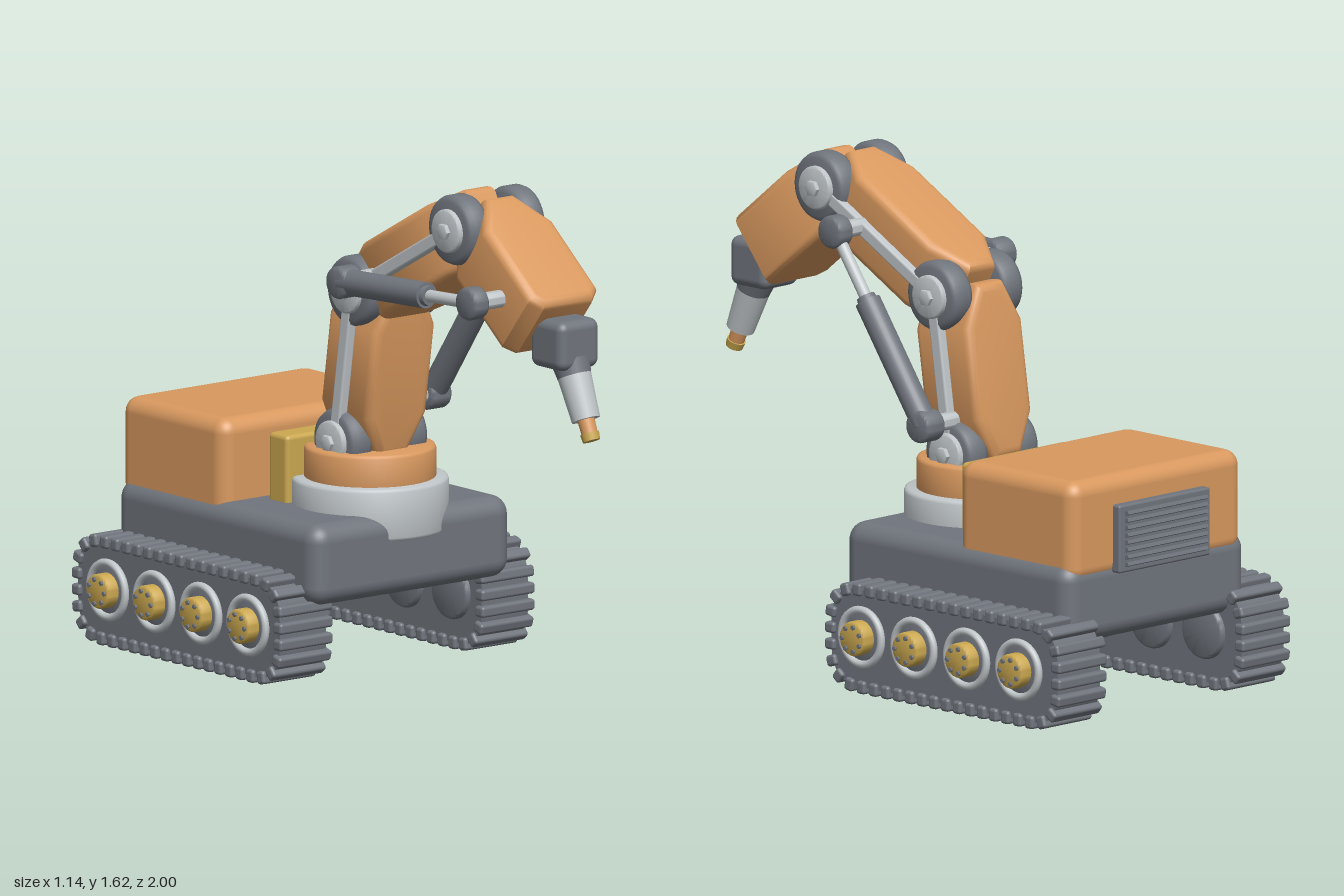
import * as THREE from 'three';
import { toCreasedNormals } from 'three/addons/utils/BufferGeometryUtils.js';
import { RoundedBoxGeometry } from 'three/addons/geometries/RoundedBoxGeometry.js';

const paint = (name, hex) => {
  const m = new THREE.MeshStandardMaterial({ color: hex });
  m.name = name;
  return m;
};

export function createModel() {
  const orange = paint('orange paint', 0xd9995f);
  const dark = paint('dark grey metal', 0x70757d);
  const light = paint('light grey metal', 0xc0c6c9);
  const gold = paint('gold metal', 0xcba850);

  const root = new THREE.Group();
  root.name = 'trackedRobotArm';

  const add = (name, geo, mat, x = 0, y = 0, z = 0, parent = root) => {
    const m = new THREE.Mesh(geo, mat);
    m.name = name;
    m.position.set(x, y, z);
    parent.add(m);
    return m;
  };
  const group = (name) => {
    const g = new THREE.Group();
    g.name = name;
    root.add(g);
    return g;
  };
  const rbox = (w, h, d, r) => new RoundedBoxGeometry(w, h, d, 4, r);

  // Solid of revolution with a small rounded rim, centred on its axis
  const disc = (r, h, b = 0.01, sides = 40) => {
    const p = [[0, -h / 2], [r - b, -h / 2], [r - b * 0.3, -h / 2 + b * 0.3], [r, -h / 2 + b],
      [r, h / 2 - b], [r - b * 0.3, h / 2 - b * 0.3], [r - b, h / 2], [0, h / 2]];
    return toCreasedNormals(new THREE.LatheGeometry(p.map(([x, y]) => new THREE.Vector2(x, y)), sides), 0.9);
  };
  // Disc turned to lie along x, spanning x0 to x1
  const axle = (name, r, x0, x1, y, z, mat, parent = root, b = 0.01, sides = 40) => {
    const m = add(name, disc(r, Math.abs(x1 - x0), b, sides), mat, (x0 + x1) / 2, y, z, parent);
    m.rotation.z = Math.PI / 2;
    return m;
  };
  // Cylinder between two [x, y, z] points
  const rod = (name, a, b, r0, r1, mat, parent = root) => {
    const A = new THREE.Vector3(...a), B = new THREE.Vector3(...b);
    const m = add(name, new THREE.CylinderGeometry(r1, r0, A.distanceTo(B), 28), mat, 0, 0, 0, parent);
    m.position.copy(A).lerp(B, 0.5);
    m.quaternion.setFromUnitVectors(new THREE.Vector3(0, 1, 0), B.sub(A).normalize());
    return m;
  };

  // Hull, rear housing and counterweight block
  add('hull', rbox(0.815, 0.265, 1.01, 0.06), dark, 0, 0.388, -0.415);
  add('rearHousing', rbox(0.77, 0.33, 0.52, 0.05), orange, 0, 0.62, -0.66);
  add('backBlock', rbox(0.465, 0.23, 0.095, 0.015), gold, 0, 0.622, -0.314);

  // Rear vent with louvres
  const vent = group('rearVent');
  add('ventFrame', rbox(0.41, 0.22, 0.04, 0.008), dark, 0, 0.583, -0.93, vent);
  for (let i = 0; i < 8; i++) {
    const slat = add('ventLouvre', new THREE.BoxGeometry(0.36, 0.012, 0.018), dark, 0, 0.5 + i * 0.0237, -0.955, vent);
    slat.rotation.x = 0.4;
  }

  // Turntable
  add('turntableRing', disc(0.25, 0.17, 0.012, 64), light, 0, 0.52, -0.135);
  add('turntable', disc(0.21, 0.14, 0.012, 64), orange, 0, 0.636, -0.135);

  // Tracks: belt outline in the side plane, with slats spaced along it
  const z0 = -0.975, z1 = 0.035, y0 = 0.025, y1 = 0.34, c = 0.12;
  const belt = new THREE.Shape();
  belt.moveTo(z0 + c, y0);
  belt.lineTo(z1 - c, y0);
  belt.quadraticCurveTo(z1, y0, z1, y0 + c);
  belt.lineTo(z1, y1 - c);
  belt.quadraticCurveTo(z1, y1, z1 - c, y1);
  belt.lineTo(z0 + c, y1);
  belt.quadraticCurveTo(z0, y1, z0, y1 - c);
  belt.lineTo(z0, y0 + c);
  belt.quadraticCurveTo(z0, y0, z0 + c, y0);
  const beltGeo = new THREE.ExtrudeGeometry(belt, { depth: 0.19, bevelEnabled: false, curveSegments: 12 });
  beltGeo.translate(0, 0, -0.095);
  const beltSmooth = toCreasedNormals(beltGeo, 0.6);
  const slatGeo = rbox(0.036, 0.042, 0.218, 0.01);
  const SLATS = 46;

  for (const s of [1, -1]) {
    const track = group(s > 0 ? 'leftTrack' : 'rightTrack');
    const loop = new THREE.Group();
    loop.name = 'trackLoop';
    loop.position.x = s * 0.413;
    loop.rotation.y = -Math.PI / 2;
    track.add(loop);
    add('belt', beltSmooth, dark, 0, 0, 0, loop);
    for (let i = 0; i < SLATS; i++) {
      const u = i / SLATS, p = belt.getPointAt(u), t = belt.getTangentAt(u);
      add('trackSlat', slatGeo, dark, p.x, p.y, 0, loop).rotation.z = Math.atan2(t.y, t.x);
    }
    // Road wheels with bolted hubs
    for (const z of [-0.11, -0.345, -0.58, -0.813]) {
      axle('wheelDisc', 0.09, s * 0.3, s * 0.52, 0.19, z, dark, track);
      const rim = add('wheelRim', new THREE.TorusGeometry(0.088, 0.013, 10, 40), light, s * 0.52, 0.19, z, track);
      rim.rotation.y = Math.PI / 2;
      axle('wheelHub', 0.056, s * 0.5, s * 0.565, 0.19, z, gold, track, 0.008);
      for (let k = 0; k < 7; k++) {
        const a = k / 7 * Math.PI * 2;
        axle('hubBolt', 0.008, s * 0.56, s * 0.572, 0.19 + 0.04 * Math.sin(a), z + 0.04 * Math.cos(a), dark, track, 0.002, 8);
      }
    }
  }

  // Arm joints as [y, z]
  const shoulder = [0.73, -0.132], elbow = [1.23, -0.057], knuckle = [1.508, 0.45], wrist = [1.19, 0.845];

  // Arm link: box with tapered ends, lying from joint a towards joint b
  const link = (name, a, b, w, from, to, taper) => {
    const g = group(name), v = 0.03, h = 0.25;
    g.position.set(0, a[0], a[1]);
    g.rotation.x = Math.atan2(b[1] - a[1], b[0] - a[0]);
    const W = w - v, n = 0.04, lo = from + v, hi = to - v;
    const s = new THREE.Shape([
      [-n, lo], [n, lo], [W, lo + 0.11], [W, hi - taper], [taper > 0.05 ? n : W * 0.8, hi],
      [taper > 0.05 ? -n : -W * 0.8, hi], [-W, hi - taper], [-W, lo + 0.11],
    ].map(([x, y]) => new THREE.Vector2(x, y)));
    const geo = new THREE.ExtrudeGeometry(s, { depth: h - 2 * v, bevelThickness: v, bevelSize: v, bevelSegments: 4 });
    geo.translate(0, 0, -(h / 2 - v));
    add(name + 'Shell', toCreasedNormals(geo, 0.7), orange, 0, 0, 0, g);
    return g;
  };
  const sideBars = (g, len) => {
    for (const s of [1, -1]) add('sideBar', rbox(0.035, len, 0.045, 0.008), light, s * 0.14, len / 2, 0, g);
  };
  sideBars(link('lowerArm', shoulder, elbow, 0.125, -0.03, 0.53, 0.11), 0.5);
  sideBars(link('upperArm', elbow, knuckle, 0.13, -0.03, 0.6, 0.11), 0.57);
  link('forearm', knuckle, wrist, 0.14, -0.02, 0.44, 0.02);

  // Joint drums with hubs and hex bolts
  for (const [name, j, r] of [['shoulderJoint', shoulder, 0.106], ['elbowJoint', elbow, 0.113], ['knuckleJoint', knuckle, 0.113]]) {
    const g = group(name);
    axle('jointPin', 0.05, -0.1, 0.1, j[0], j[1], dark, g);
    for (const s of [1, -1]) {
      axle('jointDrum', r, s * 0.07, s * 0.155, j[0], j[1], dark, g, 0.02);
      axle('jointHub', 0.07, s * 0.14, s * 0.172, j[0], j[1], light, g, 0.006);
      axle('jointBolt', 0.027, s * 0.16, s * 0.186, j[0], j[1], light, g, 0.003, 6);
    }
  }

  // Hydraulic pistons beside the arm; a and b are [y, z] pivots
  const piston = (name, x, a, b) => {
    const g = group(name), s = Math.sign(x);
    const at = (t) => [x, a[0] + (b[0] - a[0]) * t, a[1] + (b[1] - a[1]) * t];
    rod('pistonBarrel', at(0), at(0.64), 0.042, 0.042, dark, g);
    rod('barrelCollar', at(0.62), at(0.665), 0.036, 0.03, dark, g);
    rod('pistonRod', at(0.5), at(1), 0.02, 0.02, light, g);
    axle('barrelEye', 0.052, x - 0.04, x + 0.04, ...a, dark, g);
    axle('rodEye', 0.053, x - 0.03, x + 0.03, ...b, dark, g);
    axle('barrelPin', 0.028, s * 0.08, x, ...a, light, g);
    axle('rodPin', 0.028, s * 0.08, x, ...b, light, g);
  };
  piston('leftPiston', 0.252, [0.838, -0.13], [1.407, 0.272]);
  piston('rightPiston', -0.253, [1.292, 0.05], [1.325, 0.688]);

  // Wrist and nozzle
  const tool = group('tool');
  add('wristBlock', rbox(0.165, 0.16, 0.165, 0.03), dark, 0, 1.192, 0.84, tool);
  const along = (d) => [0, wrist[0] - 0.917 * d, wrist[1] + 0.4 * d];
  rod('wristCollar', along(0.06), along(0.11), 0.062, 0.055, dark, tool);
  rod('nozzleBody', along(0.08), along(0.255), 0.056, 0.046, light, tool);
  rod('nozzleTip', along(0.24), along(0.305), 0.028, 0.026, orange, tool);
  rod('nozzleBand', along(0.3), along(0.325), 0.031, 0.028, gold, tool);

  return root;
}
